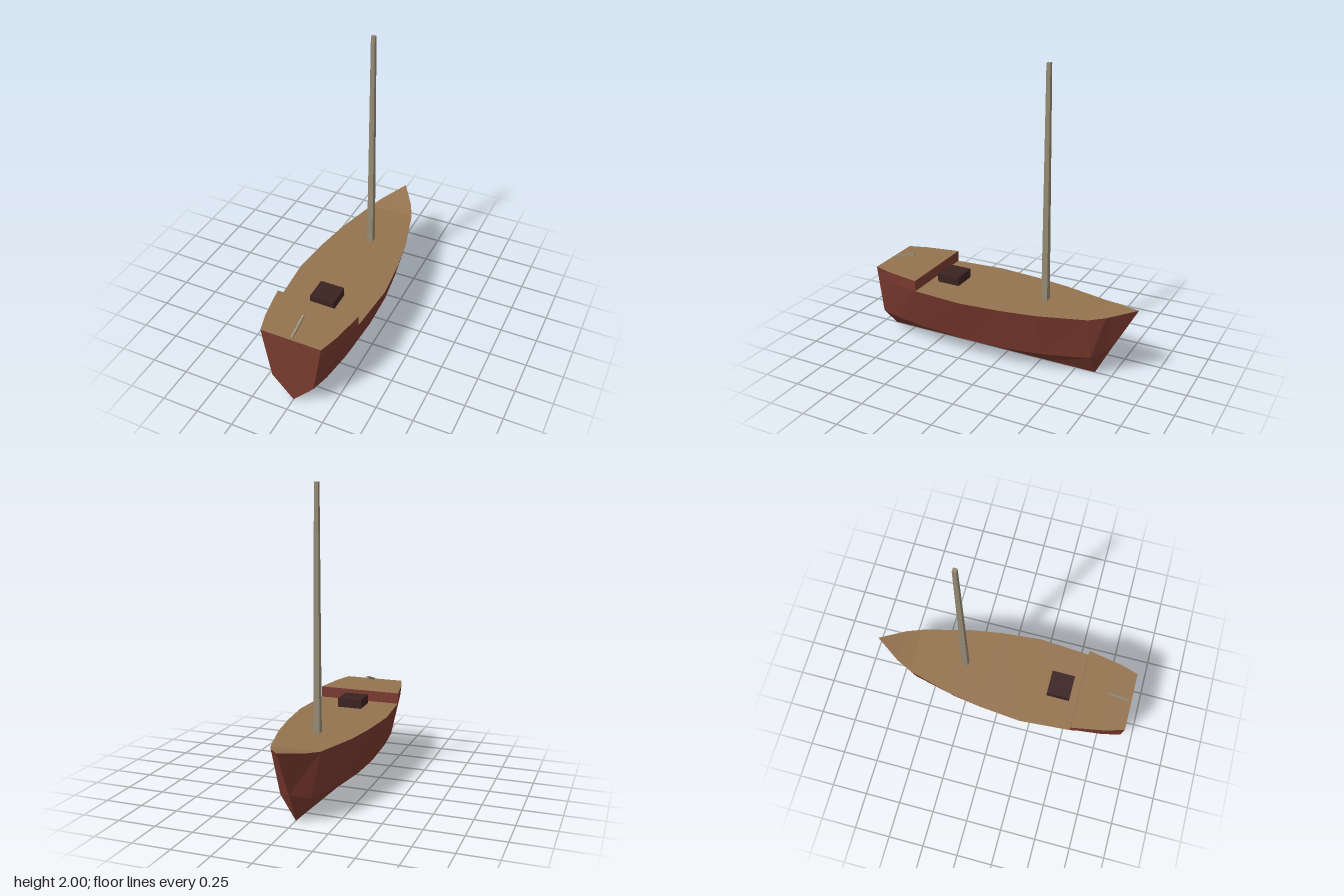
import * as THREE from 'three';

// Hull stations, stern to bow: z, keelY, chineX, chineY, railX, railY, topY
const stations = [
  [0.91, 0, 0.145, 0.16, 0.194, 0.445, 0.52],
  [0.78, 0, 0.172, 0.15, 0.237, 0.445, 0.52],
  [0.55, 0, 0.197, 0.14, 0.284, 0.445, 0.52],
  [0.55, 0, 0.197, 0.14, 0.284, 0.445, 0.445],
  [0.20, 0, 0.21, 0.132, 0.31, 0.445, 0.445],
  [-0.08, 0, 0.2, 0.133, 0.284, 0.445, 0.445],
  [-0.32, 0, 0.17, 0.138, 0.245, 0.446, 0.446],
  [-0.635, 0, 0.1, 0.155, 0.16, 0.452, 0.452],
  [-0.74, 0.2, 0, 0.2, 0.112, 0.47, 0.47],
  [-0.91, 0.51, 0, 0.51, 0, 0.51, 0.51],
];

// One half section: keel, chine, rail, top (raised only over the stern deck)
function section([z, ky, cx, cy, rx, ry, ty], i) {
  const topX = rx + [0.012, 0.008, 0.002][i] * (ty > ry) || rx;
  return [[0, ky], [cx, cy], [rx, ry], [topX, ty]].map(([x, y]) => new THREE.Vector3(x, y, z));
}
const mirror = (p) => new THREE.Vector3(-p.x, p.y, p.z);

// Builds a flat-shaded mesh from convex polygons, skipping empty triangles
function polyMesh(name, polygons, material) {
  const points = [];
  for (const poly of polygons) {
    for (let i = 1; i < poly.length - 1; i++) {
      const tri = new THREE.Triangle(poly[0], poly[i], poly[i + 1]);
      if (tri.getArea() > 1e-7) points.push(tri.a, tri.b, tri.c);
    }
  }
  const geometry = new THREE.BufferGeometry().setFromPoints(points);
  geometry.computeVertexNormals();
  const mesh = new THREE.Mesh(geometry, material);
  mesh.name = name;
  return mesh;
}

function paint(color) {
  return new THREE.MeshStandardMaterial({ color, flatShading: true });
}

export function createModel() {
  const boat = new THREE.Group();
  boat.name = 'boat';
  const hullPaint = paint(0x7a3a2f);
  const deckPaint = paint(0x94734f);
  const sparPaint = paint(0x958a73);
  const hatchPaint = paint(0x3a2320);

  const rings = stations.map(section);
  const sides = [];
  const decks = [];
  for (let i = 0; i < rings.length - 1; i++) {
    const a = rings[i], b = rings[i + 1];
    for (let j = 0; j < 3; j++) {
      const quad = [a[j], b[j], b[j + 1], a[j + 1]];
      sides.push(quad, quad.map(mirror).reverse());
    }
    // Deck strip; where two stations share z it is the step wall
    const strip = [mirror(a[3]), a[3], b[3], mirror(b[3])];
    (stations[i][0] === stations[i + 1][0] ? sides : decks).push(strip);
  }
  // Flat transom at the stern
  const stern = rings[0];
  sides.push([...stern, ...stern.slice(1).reverse().map(mirror)]);
  boat.add(polyMesh('hull', sides, hullPaint), polyMesh('deck', decks, deckPaint));

  // Square tapering mast
  const mastGeometry = new THREE.CylinderGeometry(0.013 * Math.SQRT2, 0.021 * Math.SQRT2, 1.56, 4);
  mastGeometry.rotateY(Math.PI / 4);
  const mast = new THREE.Mesh(mastGeometry, sparPaint);
  mast.name = 'mast';
  mast.position.set(0, 1.22, -0.272);
  boat.add(mast);

  // Hatch on the main deck
  const hatch = new THREE.Mesh(new THREE.BoxGeometry(0.166, 0.07, 0.16), hatchPaint);
  hatch.name = 'hatch';
  hatch.position.set(0, 0.472, 0.415);
  boat.add(hatch);

  // Tiller rising forward from the transom
  const tiller = new THREE.Mesh(new THREE.BoxGeometry(0.014, 0.014, 0.167), sparPaint);
  tiller.name = 'tiller';
  tiller.position.set(0, 0.547, 0.815);
  tiller.rotation.x = Math.atan2(0.05, 0.16);
  boat.add(tiller);

  return boat;
}
